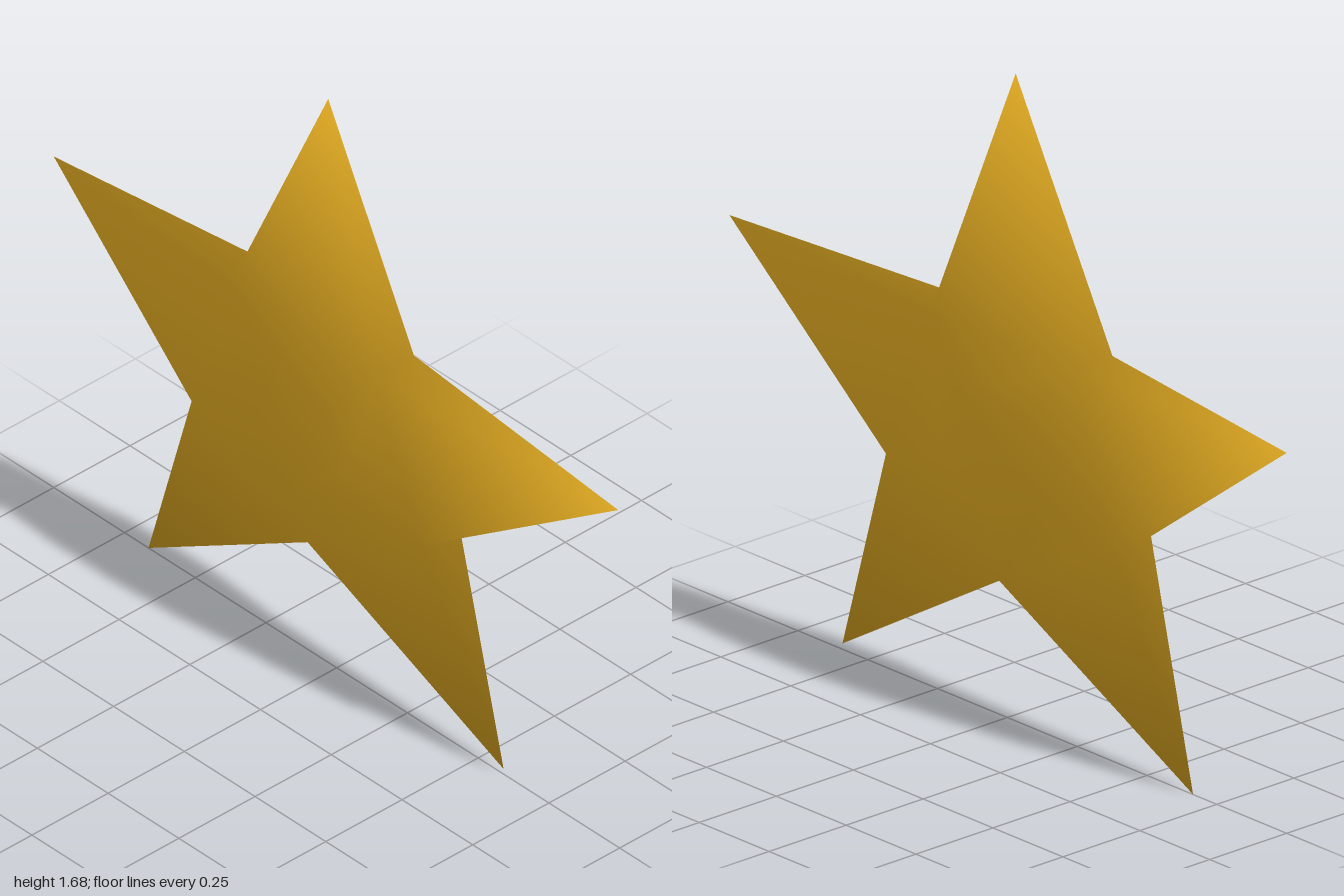
import * as THREE from 'three';

// Outline, clockwise from the top point
const tips = [[-0.03, 1.685], [0.995, 1.01], [0.59, 0.02], [-0.665, 0.005], [-1, 0.992]];
const notches = [[0.205, 1.015], [0.365, 0.597], [-0.035, 0.392], [-0.445, 0.592], [-0.307, 1.018]];
const NOTCH_Z = 0.063, CAP_Z = 0.093;

function starGeometry() {
  const n = tips.length;
  const cx = notches.reduce((s, p) => s + p[0], 0) / n;
  const cy = notches.reduce((s, p) => s + p[1], 0) / n;
  const positions = [], index = [];
  const add = (x, y, z) => positions.push(x, y, z) / 3 - 1;

  const tip = tips.map(([x, y]) => add(x, y, 0));

  // One face of the star: notch ring, raised inner pentagon, flat cap
  const face = (side, scale) => {
    const tri = (a, b, c) => (side > 0 ? index.push(a, c, b) : index.push(a, b, c));
    const ring = notches.map(([x, y]) => add(x, y, side * NOTCH_Z));
    const cap = notches.map(([x, y]) => add(cx + (x - cx) * scale, cy + (y - cy) * scale, side * CAP_Z));
    for (let i = 0; i < n; i++) {
      const p = (i + n - 1) % n;
      tri(tip[i], ring[p], ring[i]);
      tri(ring[p], cap[p], cap[i]);
      tri(ring[p], cap[i], ring[i]);
    }
    for (let i = 1; i < n - 1; i++) tri(cap[0], cap[i + 1], cap[i]);
    return ring;
  };
  const front = face(1, 0.37);
  const back = face(-1, 0.46);

  // Edge walls, two slim triangles at each notch
  for (let i = 0; i < n; i++) {
    index.push(tip[i], front[i], back[i]);
    index.push(tip[(i + 1) % n], back[i], front[i]);
  }

  const geometry = new THREE.BufferGeometry();
  geometry.setAttribute('position', new THREE.Float32BufferAttribute(positions, 3));
  // Reverse cap and arm winding where it faces inwards
  orientFaces(positions, index, cx, cy);
  geometry.setIndex(index);
  geometry.computeVertexNormals();
  return geometry;
}

// The star is star-shaped about its centre, so each face must point away from it
function orientFaces(positions, index, cx, cy) {
  const centre = new THREE.Vector3(cx, cy, 0);
  const tri = new THREE.Triangle(), normal = new THREE.Vector3();
  const at = (i) => new THREE.Vector3().fromArray(positions, i * 3);
  for (let i = 0; i < index.length; i += 3) {
    tri.set(at(index[i]), at(index[i + 1]), at(index[i + 2]));
    tri.getNormal(normal);
    if (normal.dot(tri.a.clone().sub(centre)) < 0) {
      [index[i + 1], index[i + 2]] = [index[i + 2], index[i + 1]];
    }
  }
}

export function createModel() {
  const gold = new THREE.MeshStandardMaterial({ color: 0xdaa520 });
  gold.name = 'gold';
  const star = new THREE.Mesh(starGeometry(), gold);
  star.name = 'star';
  const model = new THREE.Group();
  model.name = 'fivePointedStar';
  model.add(star);
  return model;
}
